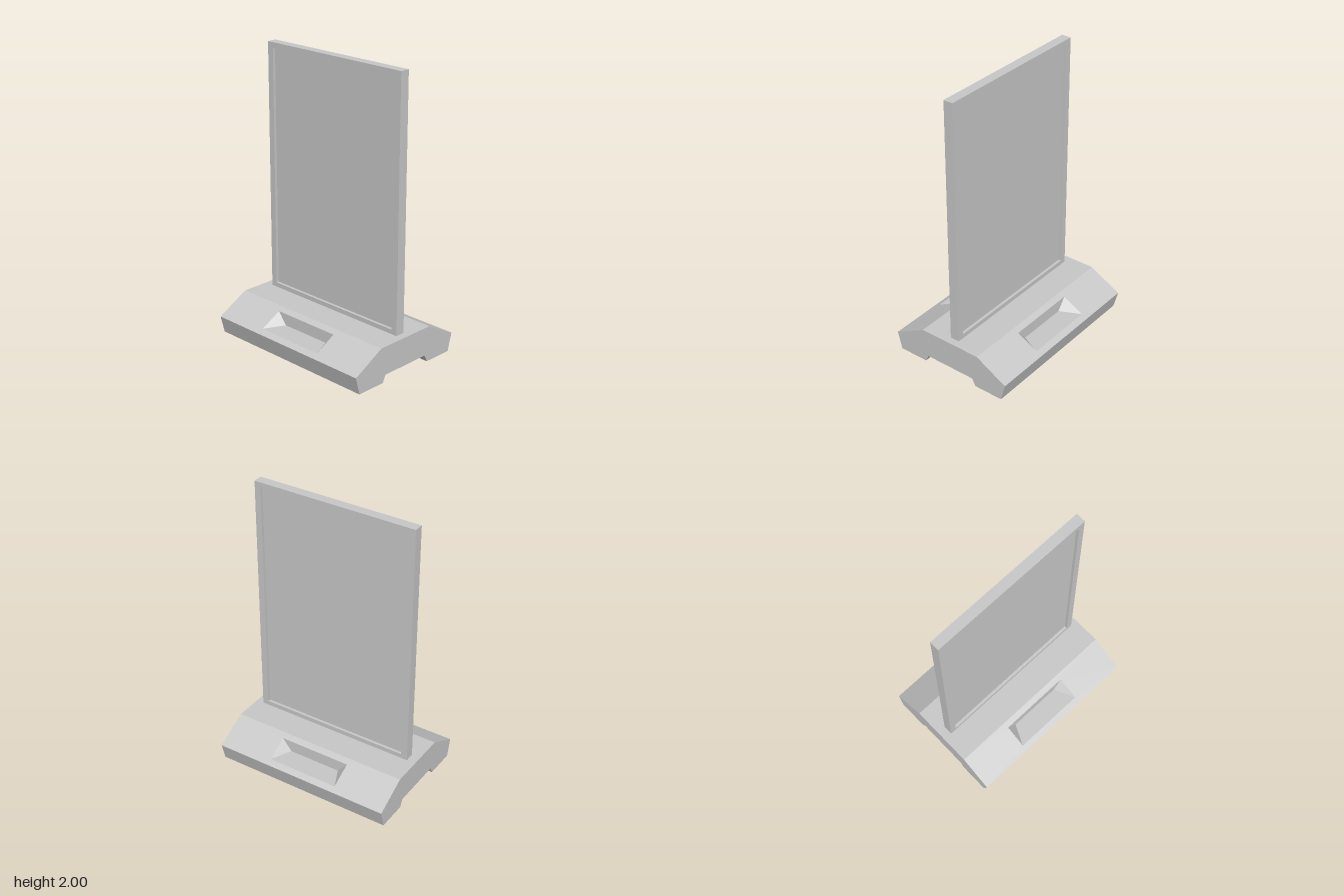
import * as THREE from 'three';

const grey = new THREE.MeshStandardMaterial({ color: 0xc8c8c8 });
grey.name = 'light grey';

// Flat-faced geometry from convex polygons, each a loop of [x, y, z] corners
function fromPolygons(polygons) {
  const pos = [];
  for (const p of polygons)
    for (let i = 1; i < p.length - 1; i++) pos.push(...p[0], ...p[i], ...p[i + 1]);
  const g = new THREE.BufferGeometry();
  g.setAttribute('position', new THREE.Float32BufferAttribute(pos, 3));
  g.computeVertexNormals();
  return g;
}

function addMesh(parent, name, geometry) {
  const m = new THREE.Mesh(geometry, grey);
  m.name = name;
  parent.add(m);
  return m;
}

// Side profile of the base as [z, y], front half mirrored to the back
const W = 0.648;
const half = [[0.232, 0.25], [0.463, 0.125], [0.43, 0], [0.215, 0], [0.19, 0.05]];
const profile = [...half, ...half.map(([z, y]) => [-z, y]).reverse()];

// Base walls and end caps, leaving out the two sloping faces
function baseBody() {
  const polys = [];
  const n = profile.length;
  profile.forEach(([z, y], i) => {
    if (i === 0 || i === n - 2) return;
    const [z2, y2] = profile[(i + 1) % n];
    polys.push([[-W, y, z], [-W, y2, z2], [W, y2, z2], [W, y, z]]);
  });
  const contour = profile.map(([z, y]) => new THREE.Vector2(y, z));
  for (const tri of THREE.ShapeUtils.triangulateShape(contour, [])) {
    const at = (x) => tri.map((k) => [x, profile[k][1], profile[k][0]]);
    polys.push(at(W), at(-W).reverse());
  }
  return fromPolygons(polys);
}

// Sloping face with a wedge-shaped pocket cut into it
function slopeWithPocket() {
  const [[zt, yt], [zb, yb]] = half;
  const slopeY = (z) => yt + ((z - zt) / (zb - zt)) * (yb - yt);
  const loop = (w, z1, z2) => [
    [-w, slopeY(z2), z2], [w, slopeY(z2), z2], [w, slopeY(z1), z1], [-w, slopeY(z1), z1],
  ];
  const outer = loop(W, zt, zb);
  const rim = loop(0.26, 0.271, 0.422);
  const polys = outer.map((o, i) => {
    const j = (i + 1) % 4;
    return [o, outer[j], rim[j], rim[i]];
  });
  const [bl, br, tr, tl] = rim;
  const dl = [-0.19, bl[1], 0.274], dr = [0.19, bl[1], 0.274];
  polys.push([bl, br, dr, dl], [dl, dr, tr, tl], [br, tr, dr], [bl, dl, tl]);
  return fromPolygons(polys);
}

function rectangle(Type, x0, x1, y0, y1) {
  return new Type([[x0, y0], [x1, y0], [x1, y1], [x0, y1]].map((p) => new THREE.Vector2(...p)));
}

export function createModel() {
  const model = new THREE.Group();
  model.name = 'displayStand';

  const base = new THREE.Group();
  base.name = 'base';
  model.add(base);
  addMesh(base, 'baseBody', baseBody());
  const slope = slopeWithPocket();
  addMesh(base, 'frontSlope', slope);
  addMesh(base, 'backSlope', slope).rotation.y = Math.PI;

  // Upright sign: raised frame around a panel recessed on both sides
  const sign = new THREE.Group();
  sign.name = 'sign';
  sign.position.set(0.005, 0, -0.002);
  model.add(sign);
  const depth = 0.068;
  const frame = rectangle(THREE.Shape, -0.59, 0.59, 0.25, 2);
  frame.holes.push(rectangle(THREE.Path, -0.545, 0.545, 0.282, 1.958));
  const frameGeometry = new THREE.ExtrudeGeometry(frame, { depth, bevelEnabled: false });
  frameGeometry.translate(0, 0, -depth / 2);
  addMesh(sign, 'signFrame', frameGeometry);
  addMesh(sign, 'signPanel', new THREE.BoxGeometry(1.09, 1.676, 0.028)).position.y = 1.12;

  return model;
}
